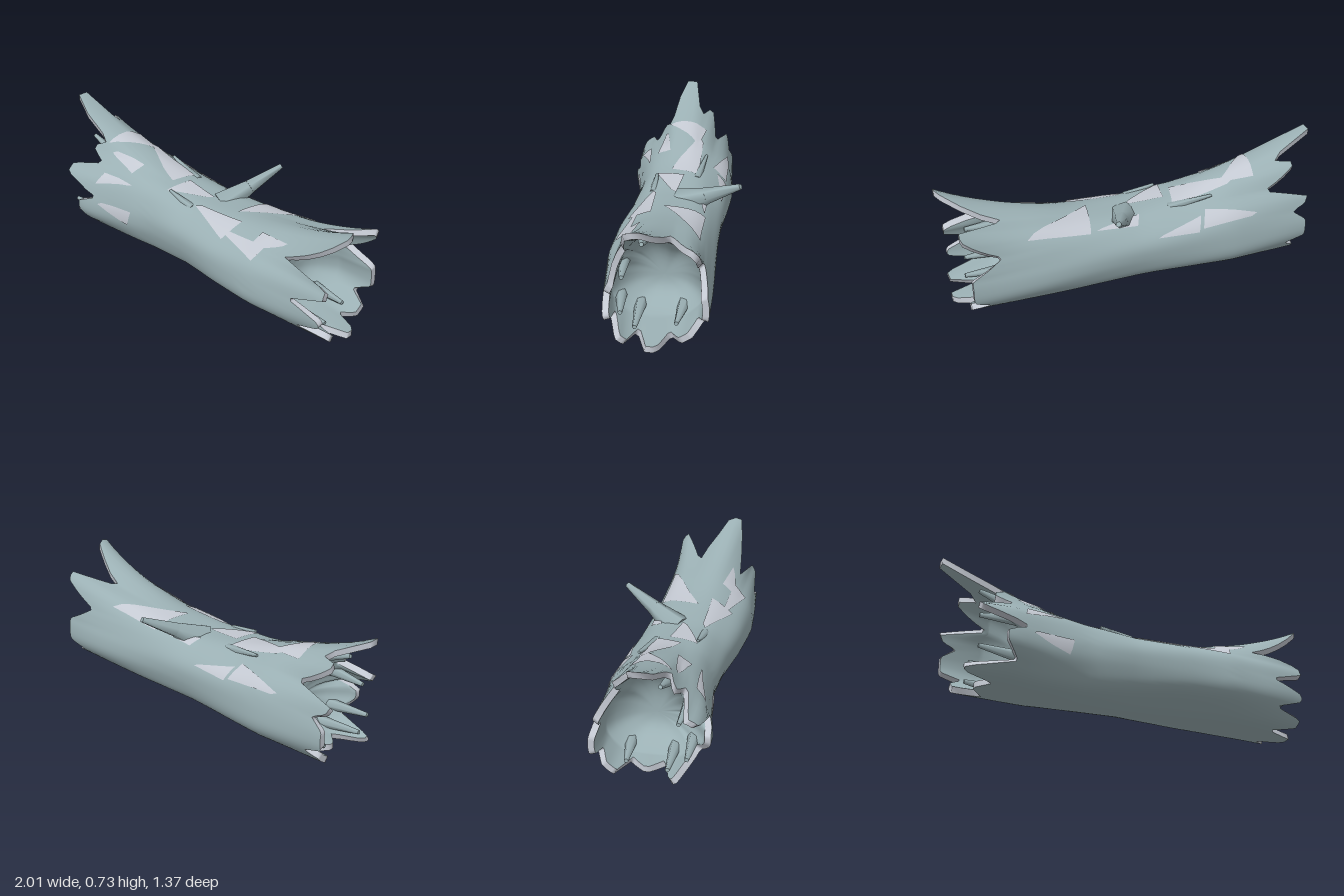
import * as THREE from 'three';

// Broken end profiles: [angle (0 front, 90 top, 180 back, 270 bottom), length, outward flare]
const LEFT_END = [
  [-90, 0.88, 0], [-75, 0.8, 0], [-62, 0.98, 0.01], [-55, 0.98, 0.01], [-35, 0.72, 0], [-10, 0.8, 0.03],
  [0, 0.8, 0.03], [10, 0.67, 0.02], [30, 0.93, 0.03], [45, 0.94, 0.02], [58, 0.72, 0.06], [70, 0.85, 0.14],
  [78, 0.74, 0.26], [87, 1.1, 0.3], [93, 1.1, 0.3], [98, 0.78, 0.27], [102, 0.95, 0.23],
  [108, 0.95, 0.2], [122, 0.76, 0.06], [136, 1.02, 0.03], [146, 1.0, 0.01], [155, 0.92, 0], [170, 1.0, 0],
  [195, 1.0, 0], [205, 0.88, 0], [220, 0.95, 0], [240, 0.95, 0], [252, 0.8, 0], [270, 0.88, 0]];
const RIGHT_END = [
  [-90, 1.05, 0], [-80, 1.05, 0], [-70, 0.88, 0], [-56, 1.03, 0], [-42, 1.04, 0], [-30, 0.85, 0],
  [-15, 1.02, 0], [-5, 1.02, 0], [10, 0.82, 0], [28, 1.03, 0.02], [42, 1.03, 0.03], [56, 0.73, 0.12],
  [76, 1.08, 0.28], [83, 1.08, 0.29], [97, 0.74, 0.18], [112, 1.02, 0.21], [119, 1.02, 0.19],
  [138, 0.8, 0.06], [150, 0.88, 0.02], [163, 0.98, 0], [195, 0.98, 0], [210, 0.88, 0], [228, 0.98, 0],
  [245, 0.98, 0], [258, 0.9, 0], [270, 1.05, 0]];

// Outline of the trunk: [position along the log, front reach, back reach, top height, bottom height]
const TRUNK = [
  [-1.1, 0.3, 0.27, 0.44, 0.018], [-0.75, 0.31, 0.285, 0.48, 0.01], [-0.55, 0.275, 0.295, 0.495, 0.003],
  [-0.3, 0.25, 0.28, 0.47, 0.01], [0, 0.265, 0.262, 0.45, 0.025], [0.25, 0.3, 0.26, 0.46, 0.03],
  [0.55, 0.32, 0.262, 0.465, 0.028], [0.8, 0.3, 0.262, 0.45, 0.02], [1.1, 0.265, 0.26, 0.425, 0.012]];

// Torn patches of pale wood: [angle, position along the log, half length, half angle]
const CHIPS = [
  [115, 0.45, 0.18, 24], [62, 0.17, 0.15, 16], [83, -0.1, 0.11, 16], [100, -0.41, 0.17, 15],
  [96, -0.63, 0.1, 15], [50, 0.42, 0.15, 11], [150, -0.22, 0.12, 11], [145, -0.52, 0.15, 13],
  [40, -0.57, 0.11, 9], [2, -0.53, 0.11, 9], [62, 0.6, 0.1, 11], [70, -0.58, 0.1, 9], [125, 0.12, 0.12, 9]];

const YAW = Math.atan2(0.435, 0.9);
const CENTRE_Y = 0.235;
const { lerp, clamp, degToRad } = THREE.MathUtils;

// Linear lookup in a table whose first column rises
function lookup(table, x) {
  let i = 0;
  while (i < table.length - 2 && table[i + 1][0] <= x) i++;
  const [p, q] = [table[i], table[i + 1]];
  const t = clamp((x - p[0]) / (q[0] - p[0]), 0, 1);
  return p.map((v, k) => lerp(v, q[k], t));
}

function endAt(side, deg) {
  const [, length, flare] = lookup(side < 0 ? LEFT_END : RIGHT_END, ((deg + 90) % 360 + 360) % 360 - 90);
  return { length, flare };
}

// Point on the slightly squared log wall; depth is measured inwards from the bark
const squared = (v) => Math.sign(v) * Math.abs(v) ** 0.88;
function wall(deg, u, depth = 0) {
  const a = degToRad(deg), c = squared(Math.cos(a)), s = squared(Math.sin(a));
  const [, front, back, top, bottom] = lookup(TRUNK, u);
  const k = Math.max(0, Math.abs(u) - 0.2) / 0.9;
  const bump = 0.004 * Math.sin(3 * a + 5 * u) + 0.003 * Math.sin(7 * a - 4 * u);
  const r = endAt(u, deg).flare * k * k + bump - depth;
  const ry = s > 0 ? top - CENTRE_Y : CENTRE_Y - bottom;
  return new THREE.Vector3(u, CENTRE_Y + s * (ry + r), c * ((c > 0 ? front : back) + r));
}

// Smooth surface from a function of two numbers from 0 to 1, optionally closed in the first
function grid(nA, nB, point, closed = false) {
  const positions = [], index = [];
  const cols = closed ? nA : nA + 1;
  for (let j = 0; j <= nB; j++)
    for (let i = 0; i < cols; i++) positions.push(...point(i / nA, j / nB).toArray());
  for (let j = 0; j < nB; j++)
    for (let i = 0; i < nA; i++) {
      const n = (i + 1) % cols;
      const a = j * cols + i, b = j * cols + n, c = a + cols, d = b + cols;
      index.push(a, c, b, b, c, d);
    }
  const g = new THREE.BufferGeometry();
  g.setAttribute('position', new THREE.Float32BufferAttribute(positions, 3));
  g.setIndex(index);
  g.computeVertexNormals();
  return g;
}

export function createModel() {
  const bark = new THREE.MeshStandardMaterial({ color: 0x9bb0b4, side: THREE.DoubleSide });
  bark.name = 'greyGreenBark';
  const wood = new THREE.MeshStandardMaterial({ color: 0xc4c9d2, side: THREE.DoubleSide });
  wood.name = 'paleTornWood';

  const model = new THREE.Group();
  model.name = 'brokenLog';
  const log = new THREE.Group();
  log.name = 'log';
  log.rotation.y = -YAW;
  model.add(log);
  const add = (name, geometry, material, parent = log) => {
    const mesh = new THREE.Mesh(geometry, material);
    mesh.name = name;
    parent.add(mesh);
    return mesh;
  };

  // Tapered bits, laid from a base point to a tip
  const spike = (name, base, tip, r0, r1, parent) => {
    const dir = tip.clone().sub(base);
    const mesh = add(name, new THREE.CylinderGeometry(r1, r0, dir.length(), 6), bark, parent);
    mesh.position.copy(base).addScaledVector(dir, 0.5);
    mesh.quaternion.setFromUnitVectors(new THREE.Vector3(0, 1, 0), dir.normalize());
  };

  // Bark from end to end
  add('outerBark', grid(90, 30, (a, t) => {
    const s = 2 * t - 1;
    return wall(a * 360, s * endAt(s, a * 360).length);
  }, true), bark);

  for (const [side, name] of [[-1, 'left'], [1, 'right']]) {
    const rim = (deg, depth) => wall(deg, side * endAt(side, deg).length, depth);
    // Splintered rim
    add(name + 'Rim', grid(90, 1, (a, d) => rim(side * -a * 360, d * 0.035), true), wood);
    // Inside of the splinters, then a shallow dish closing the end
    add(name + 'Hollow', grid(90, 14, (a, t) => {
      const deg = side * -a * 360;
      const { length } = endAt(side, deg);
      const lip = Math.min(length, 0.76);
      const dish = clamp(t * 2 - 1, 0, 1);
      const p = wall(deg, side * lerp(length, lip, Math.min(1, t * 2)), 0.035 + 0.02 * t);
      const open = 1 - dish;
      p.x = side * lerp(0.62, lip, open ** 3);
      return p.set(p.x + side * (lerp(length, lip, Math.min(1, t * 2)) - lip), lerp(CENTRE_Y, p.y, open), p.z * open);
    }, true), bark);
    // Shards standing up inside the broken end
    for (const [deg, reach] of [[-65, 0.95], [-30, 0.93], [40, 0.92], [75, 0.9], [240, 0.9]]) {
      spike(name + 'Shard', wall(deg, side * 0.68, 0.06), wall(deg + 5, side * reach, 0.07), 0.035, 0.012, log);
    }
  }

  // Torn patches, pointed at alternating ends
  CHIPS.forEach(([deg, u, halfLength, halfDeg], i) => {
    const flip = i % 2 ? -1 : 1;
    add('tornPatch', grid(6, 6, (a, b) => {
      const width = halfDeg * (1 - 0.85 * a);
      const slant = halfDeg * 0.6 * (a - 0.5);
      const skew = 0.25 * halfLength * (b - 0.5);
      return wall(deg + width * (2 * b - 1) + slant, u + flip * halfLength * (2 * a - 1) + skew, -0.005);
    }), wood);
  });

  // Branch stub with a widened root
  const knee = new THREE.Vector3(0.19, 0.475, -0.12);
  spike('branchRoot', new THREE.Vector3(0.06, 0.39, -0.01), knee, 0.085, 0.045, model);
  spike('branchStub', knee, new THREE.Vector3(0.34, 0.57, -0.25), 0.045, 0.016, model);

  // Loose slivers lifting from the top
  for (const [deg, u0, u1] of [[110, -0.2, -0.45], [60, -0.02, -0.2]]) {
    spike('sliver', wall(deg, u0, 0.02), wall(deg + 4, u1, -0.012), 0.028, 0.008, log);
  }
  return model;
}
